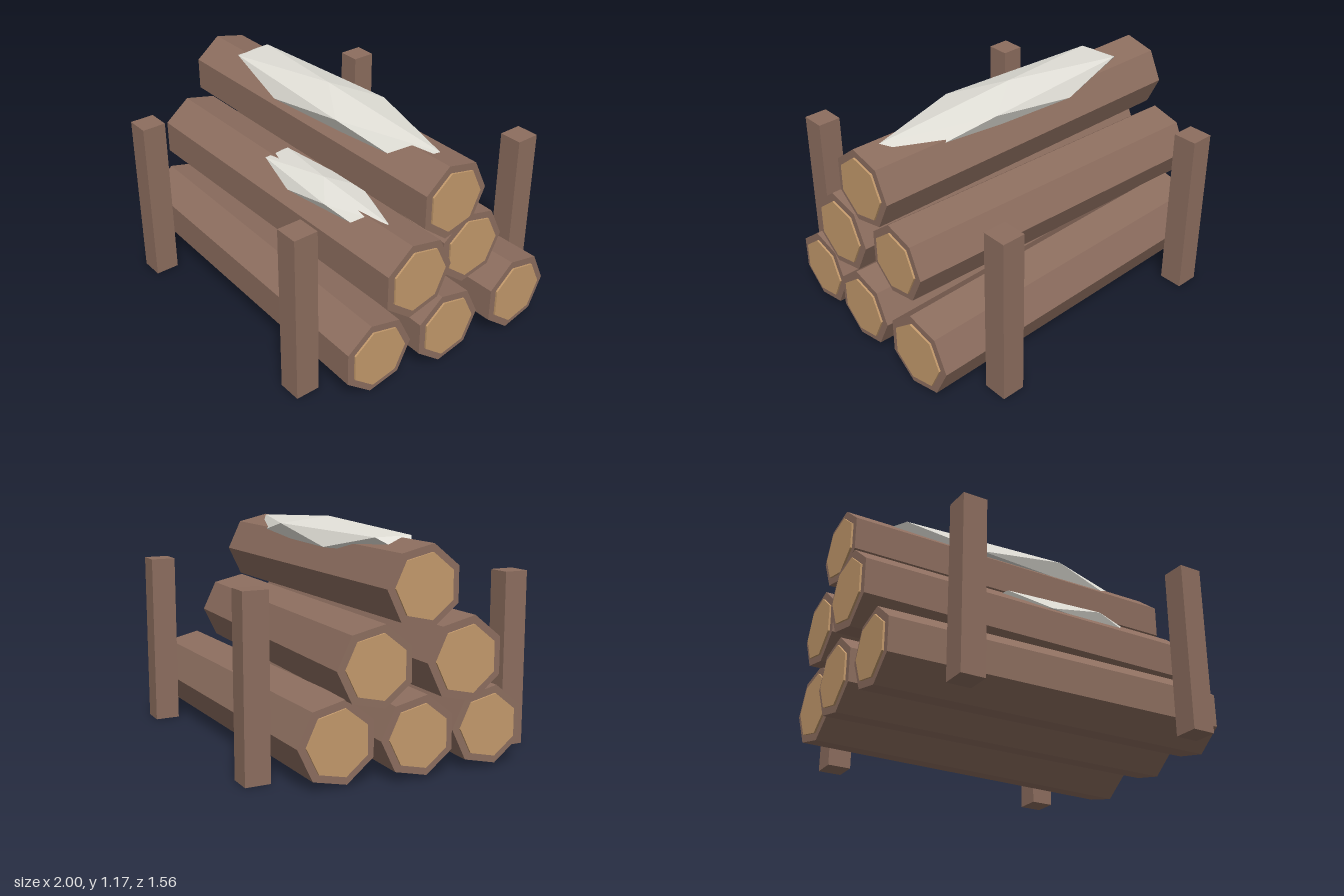
import * as THREE from 'three';

const mat = (name, color) => {
  const m = new THREE.MeshStandardMaterial({ color, flatShading: true });
  m.name = name;
  return m;
};

export function createModel() {
  const bark = mat('bark brown', 0x8d6e5f);
  const wood = mat('cut wood tan', 0xc49a6c);
  const snow = mat('snow grey white', 0xe2e0d8);
  const group = new THREE.Group();
  group.name = 'logPile';

  const add = (parent, name, geometry, material) => {
    const mesh = new THREE.Mesh(geometry, material);
    mesh.name = name;
    parent.add(mesh);
    return mesh;
  };

  // seven-sided bar lying along x, with one edge pointing to the back
  const bar = (r, length) =>
    new THREE.CylinderGeometry(r, r, length, 7, 1, false, Math.PI).rotateZ(-Math.PI / 2);

  // logs: left end x, right end x, centre y, z at each end, radius
  const logs = [
    ['bottomFrontLog', -0.93, 0.925, 0.21, 0.385, 0.435, 0.2],
    ['bottomMiddleLog', -0.94, 0.965, 0.21, -0.01, 0.022, 0.2],
    ['bottomBackLog', -0.88, 0.985, 0.212, -0.402, -0.442, 0.208],
    ['middleFrontLog', -0.99, 0.94, 0.565, 0.21, 0.21, 0.21],
    ['middleBackLog', -0.945, 0.895, 0.562, -0.24, -0.18, 0.2],
    ['topLog', -0.96, 0.935, 0.915, 0, 0, 0.2],
  ];
  for (const [name, x0, x1, y, z0, z1, r] of logs) {
    const log = new THREE.Group();
    log.name = name;
    log.position.set((x0 + x1) / 2, y, (z0 + z1) / 2);
    log.rotation.y = -Math.atan2(z1 - z0, x1 - x0);
    const length = Math.hypot(x1 - x0, z1 - z0);
    add(log, 'barkBody', bar(r, length), bark);
    // cut faces stand slightly proud of both ends
    for (const side of [-1, 1]) {
      const cap = add(log, 'cutFace', bar(r * 0.8, 0.01), wood);
      cap.position.x = side * (length / 2 + 0.005);
    }
    group.add(log);
  }

  // four upright posts
  for (const x of [-0.623, 0.677]) {
    for (const z of [-0.716, 0.714]) {
      const post = add(group, 'post', new THREE.BoxGeometry(0.126, 0.91, 0.13), bark);
      post.position.set(x, 0.455, z);
    }
  }

  // snow: a flattened twenty-sided lump with its apex up
  const lump = (rx, ry, rz) => {
    const points = [0, ry, 0, 0, -ry, 0];
    for (let i = 0; i < 10; i++) {
      const a = (i * Math.PI) / 5 - 0.025;
      points.push(Math.cos(a) * rx, (i % 2 ? -1 : 1) * 0.447 * ry, Math.sin(a) * rz);
    }
    const at = (i) => 2 + (i % 10);
    const faces = [];
    for (let i = 0; i < 10; i += 2) {
      faces.push(0, at(i + 2), at(i), at(i), at(i + 2), at(i + 1));
      faces.push(at(i + 1), at(i + 2), at(i + 3), 1, at(i + 1), at(i + 3));
    }
    const g = new THREE.BufferGeometry();
    g.setAttribute('position', new THREE.Float32BufferAttribute(points, 3));
    g.setIndex(faces);
    const flat = g.toNonIndexed();
    flat.computeVertexNormals();
    return flat;
  };
  add(group, 'topSnow', lump(0.82, 0.09, 0.182), snow).position.set(0, 1.076, 0);
  add(group, 'lowerSnow', lump(0.49, 0.065, 0.132), snow).position.set(0.24, 0.735, 0.22);

  return group;
}
